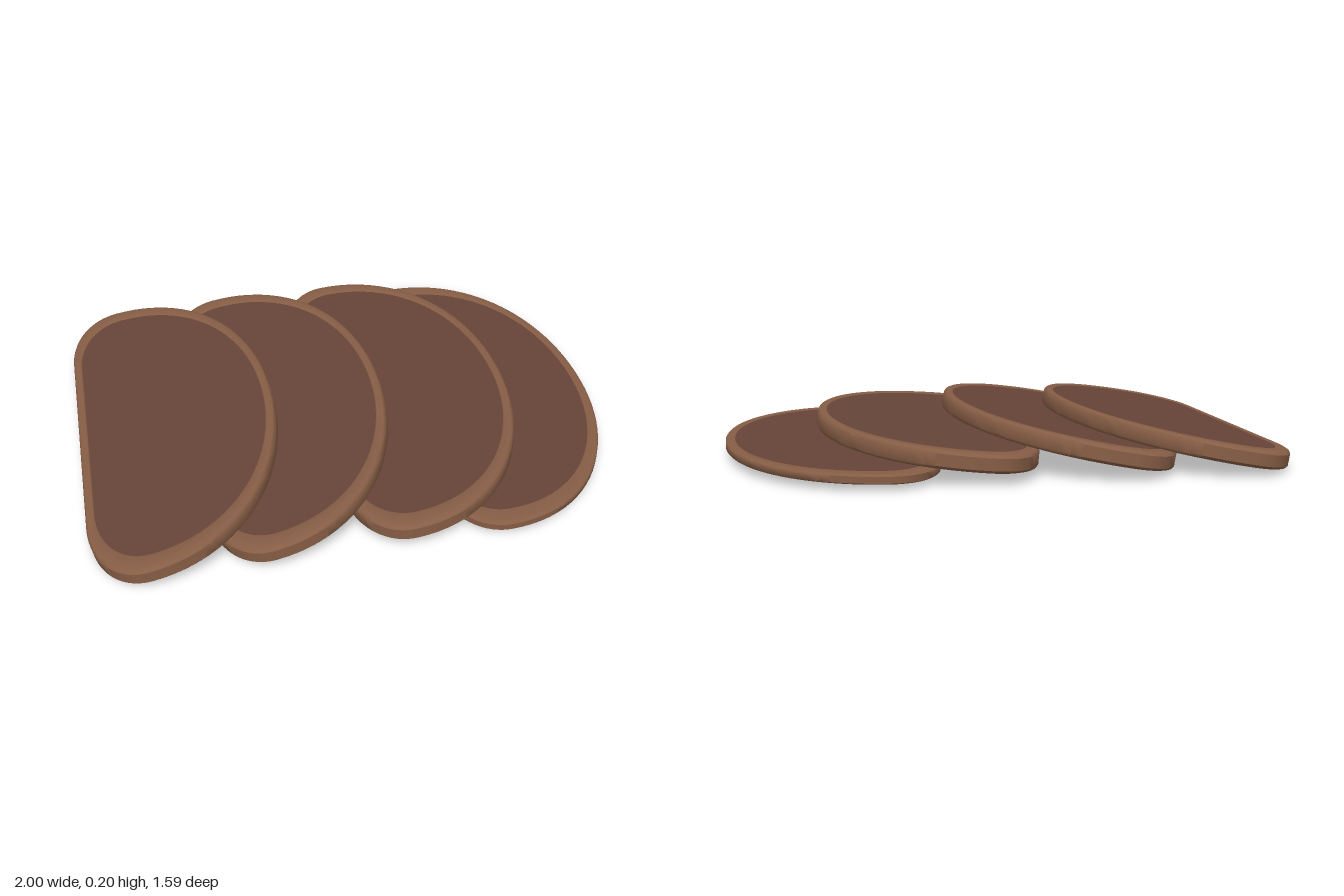
import * as THREE from 'three';
import { toCreasedNormals } from 'three/addons/utils/BufferGeometryUtils.js';

const HALF = 0.0325; // half thickness of a slice

// D-shaped outline: straight edge on -x, broad curve on +x
function outline(s) {
  const K = 0.42; // share of each corner left after the curve handle
  const shape = new THREE.Shape();
  const p = (x, y) => [x * s, y * s];
  shape.moveTo(...p(-0.375, 0.5));
  shape.lineTo(...p(-0.375, -0.5));
  shape.bezierCurveTo(...p(-0.375, -0.795 + 0.295 * K), ...p(-0.175 - 0.2 * (1 - K), -0.795), ...p(-0.175, -0.795));
  shape.bezierCurveTo(...p(0.375 - 0.55 * K, -0.795), ...p(0.375, -0.795 * (1 - K)), ...p(0.375, 0));
  shape.bezierCurveTo(...p(0.375, 0.795 * (1 - K)), ...p(0.375 - 0.55 * K, 0.795), ...p(-0.175, 0.795));
  shape.bezierCurveTo(...p(-0.175 - 0.2 * (1 - K), 0.795), ...p(-0.375, 0.795 - 0.295 * K), ...p(-0.375, 0.5));
  return shape;
}

// Rim: the outline swept through a rounded section of [scale, height]
function crustGeometry() {
  const section = [
    [0.905, -0.029], [0.915, -HALF], [0.975, -HALF], [0.99, -0.029], [1, -0.021],
    [1, 0.021], [0.99, 0.029], [0.975, HALF], [0.915, HALF], [0.905, 0.029],
  ];
  const loop = outline(1).getPoints(24);
  loop.pop(); // the last point repeats the first
  const n = loop.length;
  const positions = [];
  const index = [];
  section.forEach(([s, y], i) => {
    loop.forEach((q, j) => {
      positions.push(q.x * s, y, -q.y * s);
      if (i === section.length - 1) return;
      const a = i * n + j;
      const b = i * n + ((j + 1) % n);
      index.push(a, b, a + n, b, b + n, a + n);
    });
  });
  const g = new THREE.BufferGeometry();
  g.setAttribute('position', new THREE.Float32BufferAttribute(positions, 3));
  g.setIndex(index);
  return toCreasedNormals(g, 0.7);
}

// Flat centre, set slightly below the rim on both faces
function centreGeometry() {
  const g = new THREE.ExtrudeGeometry(outline(0.91), { depth: 0.06, bevelEnabled: false, curveSegments: 24 });
  g.translate(0, 0, -0.03);
  g.rotateX(-Math.PI / 2);
  return g;
}

export function createModel() {
  const model = new THREE.Group();
  model.name = 'overlappingSlices';

  const crustMaterial = new THREE.MeshStandardMaterial({ color: 0x865d45 });
  crustMaterial.name = 'crust brown';
  const centreMaterial = new THREE.MeshStandardMaterial({ color: 0x664438 });
  centreMaterial.name = 'centre brown';

  const crust = crustGeometry();
  const centre = centreGeometry();

  // Each slice leans on the next: x, y, tilt in degrees, thickness scale
  const slices = [
    [-0.627, 0.097, 10, 1],
    [-0.21, 0.106, 10, 1],
    [0.28, 0.092, 5, 1],
    [0.623, 0.041, 1, 0.54],
  ];
  slices.forEach(([x, y, tilt, thick], i) => {
    const slice = new THREE.Group();
    slice.name = `slice${i + 1}`;
    const rim = new THREE.Mesh(crust, crustMaterial);
    rim.name = 'crust';
    const middle = new THREE.Mesh(centre, centreMaterial);
    middle.name = 'centre';
    slice.add(rim, middle);
    slice.position.set(x, y, 0);
    slice.rotation.z = THREE.MathUtils.degToRad(tilt);
    slice.scale.y = thick;
    model.add(slice);
  });
  return model;
}
